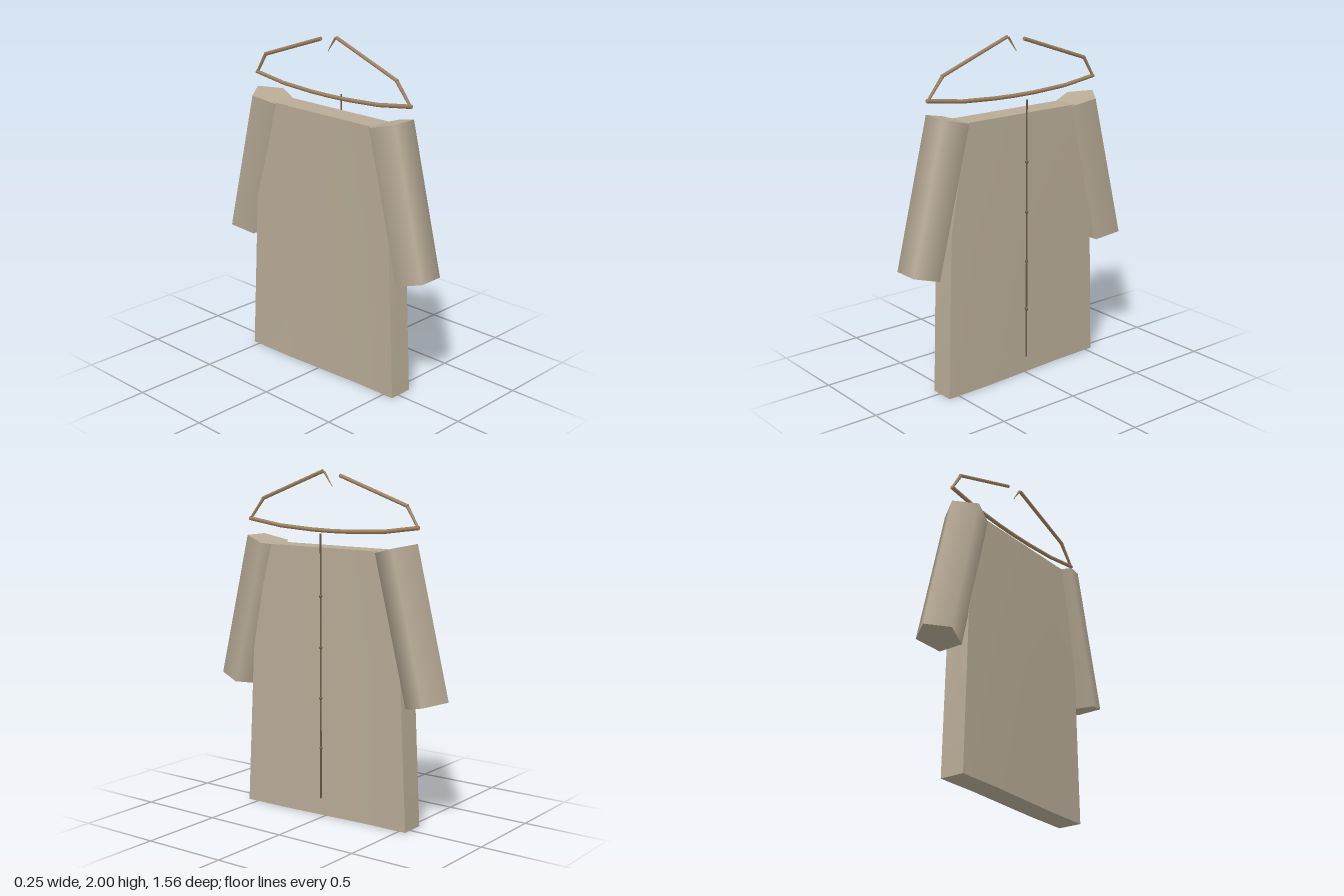
import * as THREE from 'three';
import { toCreasedNormals } from 'three/addons/utils/BufferGeometryUtils.js';

const MID = 0.012; // z of the coat's centre line

const cloth = new THREE.MeshStandardMaterial({ color: 0xb8ab96 });
const wood = new THREE.MeshStandardMaterial({ color: 0xa08360 });
const dark = new THREE.MeshStandardMaterial({ color: 0x6b5d48 });

function add(parent, name, geometry, material) {
  const mesh = new THREE.Mesh(geometry, material);
  mesh.name = name;
  parent.add(mesh);
  return mesh;
}

// Straight bar between two [z, y] points in the plane x = 0
function addBar(parent, name, a, b, rA = 0.012, rB = rA) {
  const from = new THREE.Vector3(0, a[1], a[0]);
  const to = new THREE.Vector3(0, b[1], b[0]);
  const dir = to.clone().sub(from);
  const bar = add(parent, name, new THREE.CylinderGeometry(rB, rA, dir.length(), 6), wood);
  bar.position.copy(from).add(to).multiplyScalar(0.5);
  bar.quaternion.setFromUnitVectors(new THREE.Vector3(0, 1, 0), dir.normalize());
}

// Slab that narrows to the shoulders and twists slightly towards the hem
function coatBodyGeometry() {
  const heights = [0, 0.94, 1.565];
  const halfWidths = [0.555, 0.515, 0.398];
  const geo = new THREE.BoxGeometry(0.146, 2, 2, 1, 2, 4);
  const p = geo.attributes.position;
  for (let i = 0; i < p.count; i++) {
    const row = Math.round(p.getY(i) + 1);
    const t = p.getZ(i);
    const y = heights[row];
    const sway = 0.02 * Math.sin(t * Math.PI * 0.55) * (1 - y / 1.565);
    p.setXYZ(i, p.getX(i) + sway, y, MID + t * halfWidths[row]);
  }
  return toCreasedNormals(geo, 0.5);
}

export function createModel() {
  const model = new THREE.Group();
  model.name = 'coatOnHanger';

  add(model, 'coatBody', coatBodyGeometry(), cloth);

  // Five-sided sleeves, splayed outwards
  for (const side of [1, -1]) {
    const geo = new THREE.CylinderGeometry(0.13, 0.13, 0.871, 5).rotateY(Math.PI);
    const sleeve = add(model, side > 0 ? 'frontSleeve' : 'backSleeve', geo, cloth);
    sleeve.position.set(0, 1.16, MID + side * 0.561);
    sleeve.rotation.x = -side * 0.244;
  }

  // Closure strip with buttons
  const closure = new THREE.Group();
  closure.name = 'closure';
  closure.position.set(0.1, 0, MID);
  model.add(closure);
  add(closure, 'closureStrip', new THREE.CylinderGeometry(0.006, 0.006, 1.535, 4), dark)
    .position.y = 0.878;
  for (let i = 0; i < 4; i++) {
    add(closure, 'button', new THREE.SphereGeometry(0.01, 8, 6), dark)
      .position.y = 0.41 + i * 0.294;
  }

  // Hanger: bowed lower bar, two bent arms, short hook tip
  const hanger = new THREE.Group();
  hanger.name = 'hanger';
  model.add(hanger);
  const bow = [[0.615, 1.7], [0.38, 1.668], [0.15, 1.656], [0.012, 1.654],
    [-0.13, 1.656], [-0.35, 1.668], [-0.575, 1.7]];
  for (let i = 1; i < bow.length; i++) addBar(hanger, 'lowerBar', bow[i - 1], bow[i]);
  addBar(hanger, 'frontArmEnd', [0.608, 1.7], [0.51, 1.82], 0.008, 0.011);
  addBar(hanger, 'frontArm', [0.515, 1.82], [0.07, 1.989], 0.011);
  addBar(hanger, 'backArmEnd', [-0.57, 1.7], [-0.5, 1.812], 0.008, 0.011);
  addBar(hanger, 'backArm', [-0.503, 1.813], [-0.048, 1.967], 0.011);
  addBar(hanger, 'hookTip', [0.062, 1.985], [0.006, 1.905], 0.008, 0.002);

  return model;
}
